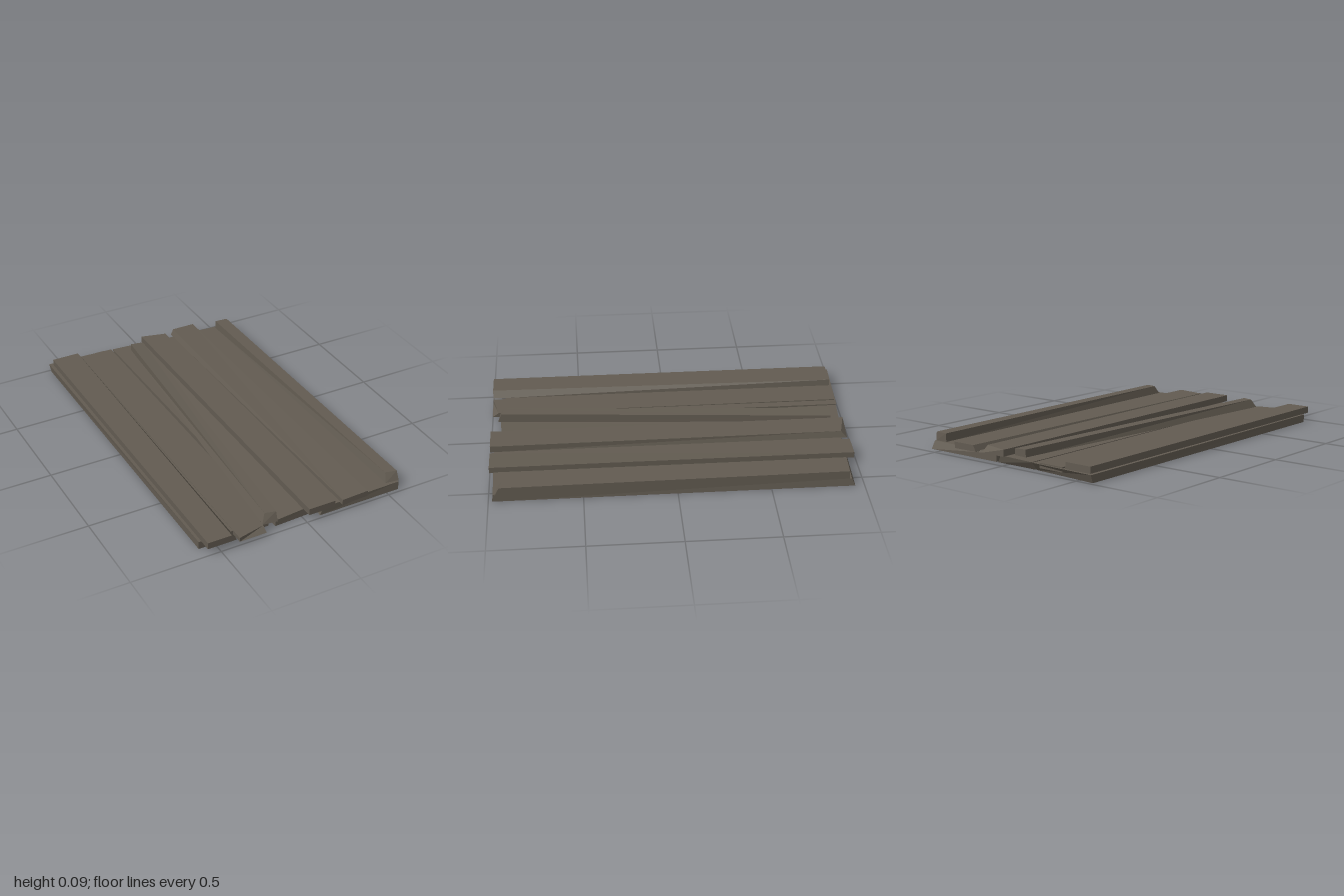
import * as THREE from 'three';

const wood = new THREE.MeshStandardMaterial({ color: 0x625b51 });
wood.name = 'weathered wood';

// A hewn board: a box whose eight corners are moved.
// Footprints list [x, z] for back left, back right, front right, front left as seen from above;
// heights are given in the same order.
function board(name, bottom, top, low, high) {
  const box = new THREE.BoxGeometry(1, 1, 1);
  const p = box.attributes.position;
  for (let i = 0; i < p.count; i++) {
    const right = p.getX(i) > 0, front = p.getZ(i) > 0, up = p.getY(i) > 0;
    const corner = front ? (right ? 2 : 3) : (right ? 1 : 0);
    const [x, z] = (up ? top : bottom)[corner];
    p.setXYZ(i, x, up ? high[corner] : low, z);
  }
  const geometry = box.toNonIndexed();
  geometry.computeVertexNormals();
  const mesh = new THREE.Mesh(geometry, wood);
  mesh.name = name;
  return mesh;
}

const level = (h) => [h, h, h, h];

export function createModel() {
  const group = new THREE.Group();
  group.name = 'plankPanel';

  group.add(
    // Wide lower boards
    board('rightBaseBoard',
      [[-0.59, -0.98], [-0.195, -0.95], [-0.19, 0.93], [-0.59, 0.93]],
      [[-0.595, -1], [-0.195, -0.985], [-0.19, 0.93], [-0.59, 0.93]], 0, level(0.044)),
    board('middleBaseBoard',
      [[-0.185, -0.95], [0.075, -0.95], [0.075, 0.94], [-0.16, 0.95]],
      [[-0.185, -0.98], [0.045, -0.965], [0.045, 0.94], [-0.16, 0.95]], 0, [0.044, 0.044, 0.044, 0.036]),
    board('leftBaseBoard',
      [[0.09, -0.95], [0.575, -0.95], [0.575, 0.98], [0.09, 0.98]],
      [[0.09, -0.95], [0.57, -0.93], [0.575, 0.975], [0.105, 0.98]], 0, level(0.044)),

    // Narrow boards laid on top
    board('rightOuterPlank',
      [[-0.575, -0.98], [-0.41, -0.98], [-0.41, 1], [-0.575, 1]],
      [[-0.575, -0.98], [-0.415, -0.98], [-0.44, 1], [-0.575, 1]], 0.043, level(0.08)),
    board('sunkenPlank',
      [[-0.395, -0.98], [-0.24, -0.98], [-0.24, 1], [-0.395, 1]],
      [[-0.395, -0.98], [-0.24, -0.98], [-0.24, 0.965], [-0.395, 1]], 0.022, [0.05, 0.05, 0.046, 0.046]),
    board('diagonalBatten',
      [[-0.09, -0.92], [-0.01, -0.915], [-0.155, 0.965], [-0.24, 0.955]],
      [[-0.09, -0.92], [-0.012, -0.915], [-0.155, 0.945], [-0.215, 0.93]], 0.04, [0.085, 0.08, 0.09, 0.09]),
    board('middlePlank',
      [[0.01, -0.98], [0.165, -0.98], [0.165, 1], [0.01, 1]],
      [[0.01, -0.98], [0.155, -0.945], [0.165, 1], [0.01, 1]], 0.043, level(0.08)),
    board('leftInnerPlank',
      [[0.21, -0.98], [0.365, -0.98], [0.365, 1], [0.21, 1]],
      [[0.228, -0.98], [0.365, -0.98], [0.365, 1], [0.212, 1]], 0.04, [0.074, 0.074, 0.074, 0.068]),
    board('leftEdgeBatten',
      [[0.492, -0.92], [0.57, -0.92], [0.585, 0.965], [0.508, 0.955]],
      [[0.495, -0.92], [0.57, -0.915], [0.585, 0.94], [0.522, 0.925]], 0.043, level(0.09))
  );
  return group;
}
